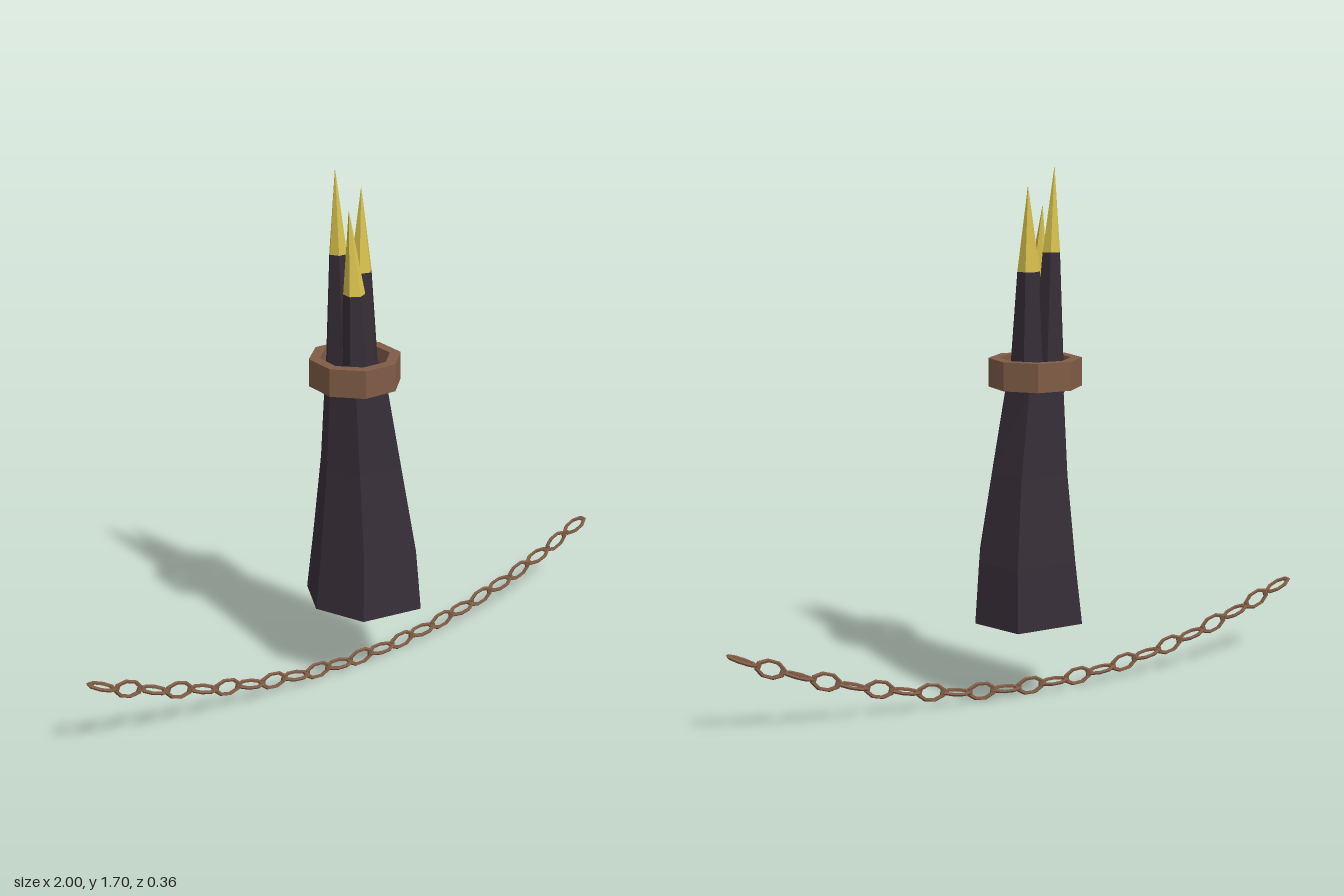
import * as THREE from 'three';

const mat = (name, color) => Object.assign(new THREE.MeshStandardMaterial({ color }), { name });

// Non-indexed copy with one normal per facet
function facet(geometry) {
  const g = geometry.index ? geometry.toNonIndexed() : geometry;
  g.computeVertexNormals();
  return g;
}

// Skin a stack of equal-sized rings of Vector3 (bottom to top), capping both ends
function loft(rings) {
  const pts = [];
  const n = rings[0].length;
  for (let k = 0; k < rings.length - 1; k++) {
    for (let i = 0; i < n; i++) {
      const j = (i + 1) % n;
      const [a, b, c, d] = [rings[k][i], rings[k][j], rings[k + 1][j], rings[k + 1][i]];
      pts.push(a, d, b, b, d, c);
    }
  }
  const lo = rings[0], hi = rings[rings.length - 1];
  for (let i = 1; i < n - 1; i++) pts.push(lo[0], lo[i], lo[i + 1], hi[0], hi[i + 1], hi[i]);
  return facet(new THREE.BufferGeometry().setFromPoints(pts));
}

// Regular ring around a centre
function ring(x, y, z, r, turn, sides = 6) {
  return Array.from({ length: sides }, (_, i) => {
    const a = turn + (i / sides) * Math.PI * 2;
    return new THREE.Vector3(x + r * Math.cos(a), y, z + r * Math.sin(a));
  });
}

export function createModel() {
  const model = new THREE.Group();
  const dark = mat('dark horn', 0x372e37);
  const gold = mat('gold tip', 0xd8c24e);
  const rust = mat('rusty metal', 0x805c46);

  const add = (parent, name, geometry, material) => {
    const mesh = new THREE.Mesh(geometry, material);
    mesh.name = name;
    parent.add(mesh);
    return mesh;
  };

  // Tapering six-sided trunk: one uneven hexagon fitted to each level's extents
  const hex = [[1, 0.45], [0.75, 1], [0.2, 0.9], [0, 0.45], [0.18, 0.03], [0.8, 0]];
  const levels = [ // y, min x, max x, min z, max z
    [0.27, -0.175, 0.195, -0.18, 0.18],
    [0.47, -0.15, 0.182, -0.165, 0.155],
    [0.75, -0.122, 0.14, -0.135, 0.105],
    [1.02, -0.103, 0.09, -0.117, 0.072],
    [1.08, -0.1, 0.08, -0.11, 0.06],
  ];
  add(model, 'trunk', loft(levels.map(([y, x0, x1, z0, z1]) =>
    hex.map(([u, v]) => new THREE.Vector3(x0 + u * (x1 - x0), y, z0 + v * (z1 - z0))))), dark);

  // Three spikes growing out of the trunk, each with a gold point
  const spikes = [ // base x, z, radius; joint x, y, z, radius; tip x, y, z
    { base: [-0.043, -0.05, 0.06], joint: [-0.053, 1.44, -0.055, 0.03], tip: [-0.063, 1.7, -0.055], turn: 0 },
    { base: [0.014, -0.035, 0.066], joint: [0.012, 1.38, -0.028, 0.036], tip: [0.015, 1.64, -0.03], turn: 0.2 },
    { base: [-0.025, 0.005, 0.06], joint: [-0.033, 1.32, 0, 0.034], tip: [-0.045, 1.58, -0.01], turn: 0.5 },
  ];
  spikes.forEach(({ base: [bx, bz, br], joint: [jx, jy, jz, jr], tip: [tx, ty, tz], turn }) => {
    const spike = new THREE.Group();
    spike.name = 'spike';
    const joint = ring(jx, jy, jz, jr, turn);
    add(spike, 'spikeShaft', loft([ring(bx, 1, bz, br, turn), joint]), dark);
    add(spike, 'spikeTip', loft([joint, ring(tx, ty, tz, 0.0005, turn)]), gold);
    model.add(spike);
  });

  // Eight-sided metal collar
  const profile = [[0.112, -0.045], [0.147, -0.045], [0.147, 0.045], [0.112, 0.045], [0.112, -0.045]]
    .map(([x, y]) => new THREE.Vector2(x, y));
  add(model, 'collar', facet(new THREE.LatheGeometry(profile, 8, Math.PI / 8)), rust)
    .position.set(-0.0125, 1.065, -0.025);

  // Sagging chain; every other link is turned a quarter
  const chain = new THREE.Group();
  chain.name = 'chain';
  const linkShape = facet(new THREE.TorusGeometry(0.026, 0.006, 5, 8)
    .rotateZ(Math.PI / 8).scale(1.68, 1, 1));
  for (let i = -11; i <= 11; i++) {
    const x = i * 0.0868;
    const link = add(chain, 'chainLink', linkShape, rust);
    link.position.set(x, 0.034 + 0.242 * x * x, -0.015);
    link.rotation.order = 'ZXY';
    link.rotation.z = Math.atan(0.484 * x);
    link.rotation.x = i % 2 ? Math.PI / 2 : 0;
  }
  model.add(chain);

  return model;
}
